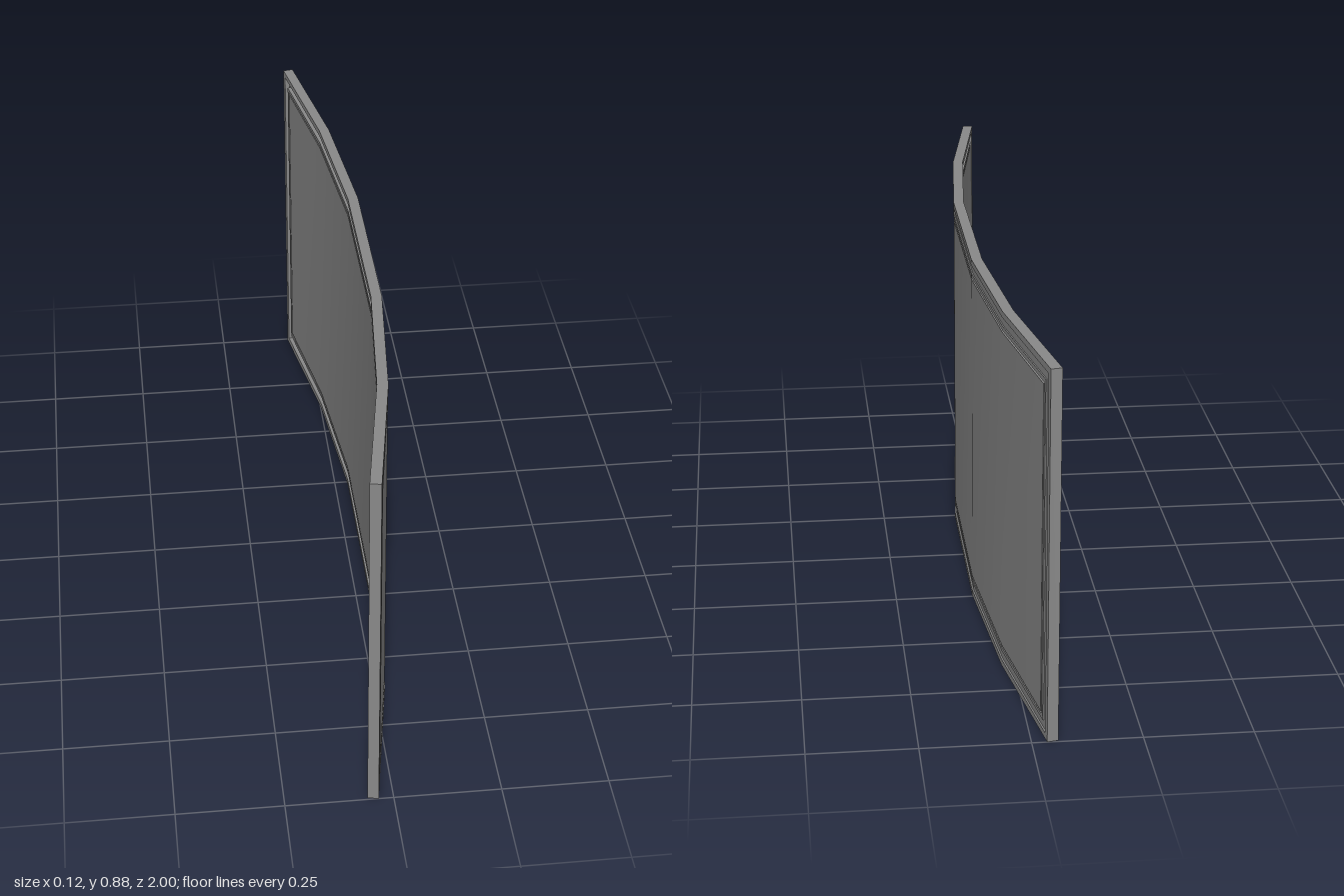
import * as THREE from 'three';
import { toCreasedNormals } from 'three/addons/utils/BufferGeometryUtils.js';

const HEIGHT = 0.88, THICK = 0.026, RADIUS = 5.02;
const BREAKS = [1, 0.62, 0.24, -0.24, -0.62, -1]; // facet borders along the arc
const ANGLE = Math.asin(1 / (RADIUS + THICK / 2));
const SHIFT = (RADIUS + THICK / 2) * Math.cos(BREAKS[2] * ANGLE) - 0.06;

// Moulding of a face, centre outwards: [inset from edge, depth below the face]
const moulding = (groove, recess) => [
  [0.051, 0.001], [0.051, groove], [0.046, groove], [0.046, 0.001],
  [0.036, 0.001], [0.036, recess], [0.015, recess], [0.015, 0], [0, 0],
];

// Point on the curved sheet: s runs -1..1 along the arc, d is the radial offset
function bend(s, y, d) {
  const a = s * ANGLE, r = RADIUS + d;
  return [r * Math.cos(a) - SHIFT, y, r * Math.sin(a)];
}

// Rectangular loop, inset from the sheet's border, at radial offset d
function ring(inset, d) {
  const bottom = [], top = [];
  for (const b of BREAKS) {
    const s = THREE.MathUtils.clamp(b, inset - 1, 1 - inset);
    bottom.push(bend(s, inset, d));
    top.unshift(bend(s, HEIGHT - inset, d));
  }
  return [...bottom, ...top];
}

const quad = (out, a, b, c, d) => out.push(...a, ...b, ...c, ...a, ...c, ...d);

function makeMesh(name, positions, material) {
  const geometry = new THREE.BufferGeometry();
  geometry.setAttribute('position', new THREE.Float32BufferAttribute(positions, 3));
  const mesh = new THREE.Mesh(toCreasedNormals(geometry, 0.5), material);
  mesh.name = name;
  return mesh;
}

// Fill the inside of a loop with vertical strips
function panel(name, loop, flip, material) {
  const out = [], last = loop.length - 1;
  for (let i = 0; i < BREAKS.length - 1; i++) {
    const q = [loop[i], loop[i + 1], loop[last - i - 1], loop[last - i]];
    if (flip) q.reverse();
    quad(out, ...q);
  }
  return makeMesh(name, out, material);
}

export function createModel() {
  const group = new THREE.Group();
  group.name = 'curvedPanel';
  const material = new THREE.MeshStandardMaterial({ color: 0x898989 });

  // Loops from the convex face, round the border, to the more deeply cut concave face
  const convex = moulding(0.006, 0.004).map(([inset, depth]) => ring(inset, THICK / 2 - depth));
  const concave = moulding(0.006, 0.012).map(([inset, depth]) => ring(inset, depth - THICK / 2));
  const loops = [...convex, ...concave.reverse()];

  // Moulded frame
  const frame = [];
  for (let k = 0; k < loops.length - 1; k++) {
    const a = loops[k], b = loops[k + 1];
    for (let i = 0; i < a.length; i++) {
      const j = (i + 1) % a.length;
      quad(frame, b[i], b[j], a[j], a[i]);
    }
  }
  group.add(makeMesh('mouldedFrame', frame, material));

  // Main faces
  group.add(panel('convexFace', loops[0], false, material));
  group.add(panel('concaveFace', loops[loops.length - 1], true, material));
  return group;
}
